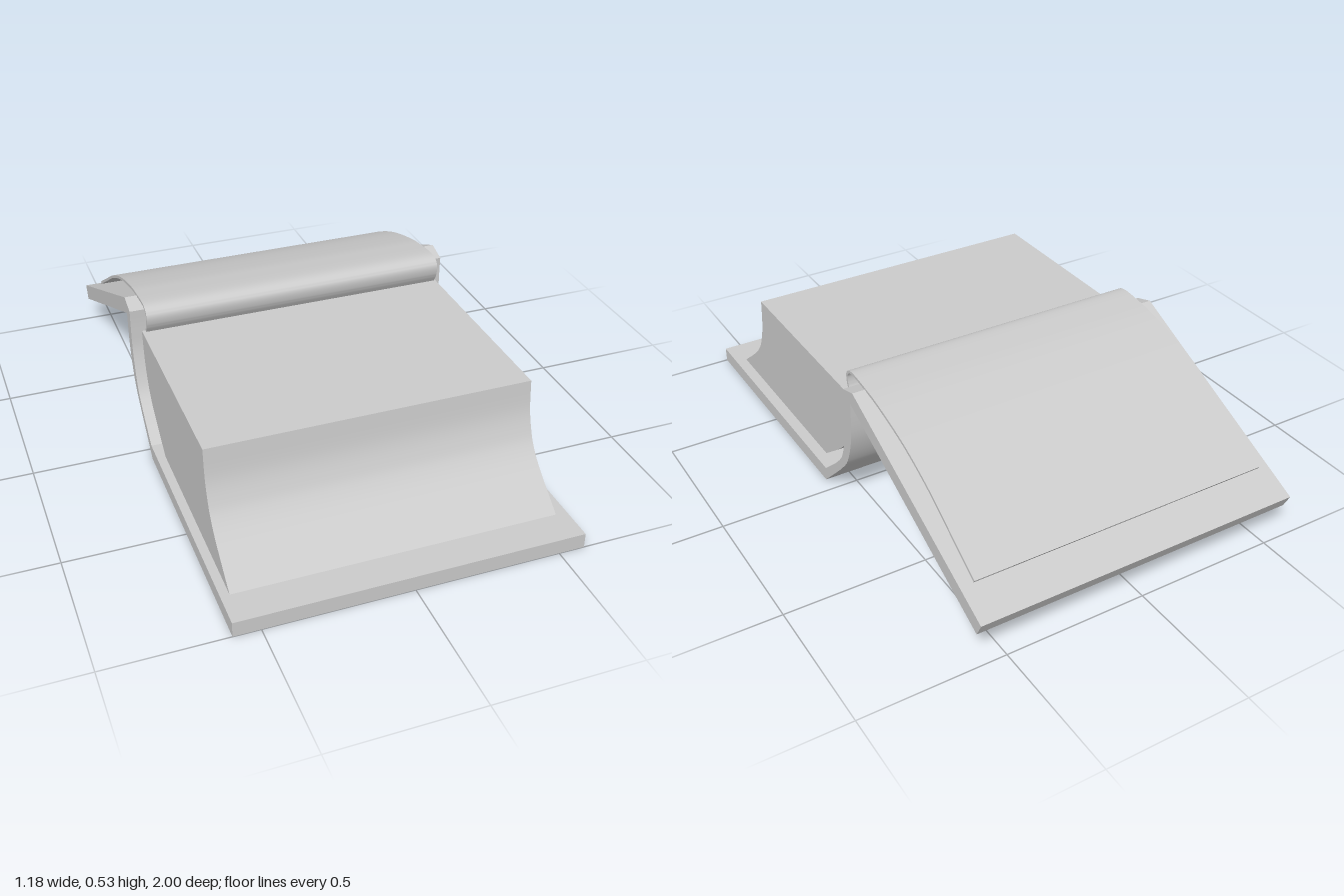
import * as THREE from 'three';
import { toCreasedNormals } from 'three/addons/utils/BufferGeometryUtils.js';

const material = new THREE.MeshStandardMaterial({ color: 0xcccccc });

// Smooth curve through [z, y] points
function smooth(points, steps = 24) {
  return new THREE.SplineCurve(points.map(([z, y]) => new THREE.Vector2(z, y))).getPoints(steps);
}
const corners = (points) => points.map(([z, y]) => new THREE.Vector2(z, y));

// Extrudes a side outline, given in (z, y), across the width in x
function slab(name, outline, minX, maxX) {
  const width = maxX - minX;
  const geometry = new THREE.ExtrudeGeometry(new THREE.Shape(outline), { depth: width, bevelEnabled: false });
  geometry.translate(0, 0, -width / 2);
  geometry.rotateY(-Math.PI / 2);
  geometry.translate((minX + maxX) / 2, 0, 0);
  const mesh = new THREE.Mesh(toCreasedNormals(geometry, 0.55), material);
  mesh.name = name;
  return mesh;
}

export function createModel() {
  const book = new THREE.Group();
  book.name = 'openBook';

  // Cover: flat board, curved spine and sloping board in one outline
  const spineOuter = smooth([[0.06, 0], [-0.09, 0.145], [-0.143, 0.215], [-0.178, 0.325], [-0.186, 0.46]]);
  const spineInner = smooth([[-0.138, 0.49], [-0.139, 0.42], [-0.134, 0.33], [-0.102, 0.215], [-0.055, 0.15], [0.055, 0.053]]);
  book.add(slab('cover', [
    ...corners([[1, 0]]),
    ...spineOuter,
    ...corners([[-0.975, 0.105], [-1, 0.155], [-0.207, 0.511]]),
    ...spineInner,
    ...corners([[1, 0.053]]),
  ], -0.59, 0.59));

  // Page block: the fore edge and spine edge share the same curve
  const edge = [[0.644, 0.428], [0.655, 0.327], [0.676, 0.257], [0.703, 0.205], [0.757, 0.148], [0.88, 0.053]];
  const shift = 0.745;
  book.add(slab('pageBlock', [
    ...smooth(edge),
    ...smooth(edge.map(([z, y]) => [z - shift, y])).reverse(),
  ], -0.56, 0.55));

  // Turned page: a thin sheet arching over the sloping board
  const sheet = smooth([
    [-0.095, 0.428], [-0.077, 0.465], [-0.078, 0.503], [-0.115, 0.52], [-0.207, 0.512],
    [-0.3, 0.496], [-0.46, 0.45], [-0.61, 0.383], [-0.75, 0.3], [-0.885, 0.218],
  ], 60);
  const half = 0.005;
  const offset = (side) => sheet.map((p, i) => {
    const a = sheet[Math.max(i - 1, 0)];
    const b = sheet[Math.min(i + 1, sheet.length - 1)];
    const t = b.clone().sub(a).normalize();
    return new THREE.Vector2(p.x + t.y * half * side, p.y - t.x * half * side);
  });
  book.add(slab('turnedPage', [...offset(1), ...offset(-1).reverse()], -0.547, 0.545));

  return book;
}
